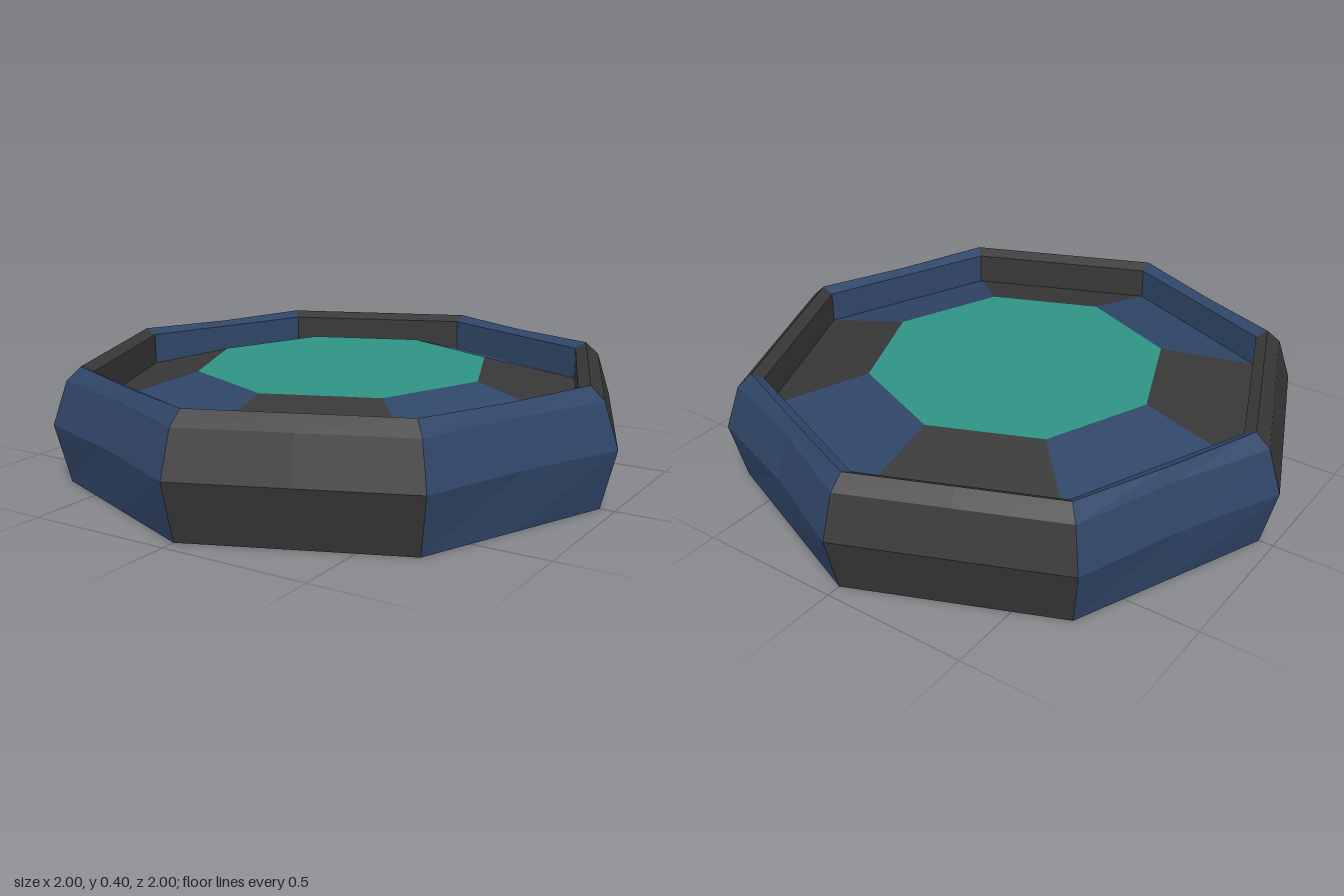
import * as THREE from 'three';

const SIDES = 8;
const PAD_RADIUS = 0.512, PAD_Y = 0.36;

// Cross-sections as [radius at the corners, height, inward dent, dip];
// dent and dip act on the middle of the dented sides.
const SHELL = [[0.95, 0, 0, 0], [1, 0.2, 0.018, 0], [0.95, 0.35, 0.018, 0], [0.9, 0.396, 0, 0.006]];
const RIM = [[0.9, 0.396, 0, 0.006], [0.86, 0.375, 0, 0], [0.86, 0.265, 0, 0]];
const FLOOR = [[0.86, 0.265, 0, 0], [PAD_RADIUS, PAD_Y, 0, 0]];

function material(name, color) {
  const m = new THREE.MeshStandardMaterial({ color, side: THREE.DoubleSide, flatShading: true });
  m.name = name;
  return m;
}

// One side of the octagon, swept through a profile in two halves
function sidePanel(profile, side, dented) {
  const step = (Math.PI * 2) / SIDES;
  const rows = profile.map(([r, y, dent, dip]) => {
    const corner = (k) => new THREE.Vector3(r * Math.cos(k * step), y, r * Math.sin(k * step));
    const a = corner(side), b = corner(side + 1);
    const mid = a.clone().add(b).multiplyScalar(0.5);
    if (dented) {
      const angle = (side + 0.5) * step;
      mid.x -= dent * Math.cos(angle);
      mid.z -= dent * Math.sin(angle);
      mid.y -= dip;
    }
    return [a, mid, b];
  });
  const points = [];
  for (let i = 0; i < rows.length - 1; i++) {
    for (let j = 0; j < 2; j++) {
      const p = rows[i][j], q = rows[i + 1][j], s = rows[i + 1][j + 1], t = rows[i][j + 1];
      points.push(p, q, t, q, s, t);
    }
  }
  const geometry = new THREE.BufferGeometry().setFromPoints(points);
  geometry.computeVertexNormals();
  return geometry;
}

export function createModel() {
  const model = new THREE.Group();
  model.name = 'octagonalBase';
  const blue = material('navy blue', 0x304668);
  const grey = material('charcoal', 0x383838);
  const teal = material('teal', 0x2f9484);

  // Alternating blue and charcoal sides, open underneath
  const parts = { outerShell: SHELL, innerRim: RIM, floorPanel: FLOOR };
  for (let side = 0; side < SIDES; side++) {
    const dented = side % 2 === 0;
    for (const [name, profile] of Object.entries(parts)) {
      const mesh = new THREE.Mesh(sidePanel(profile, side, dented), dented ? blue : grey);
      mesh.name = `${name}${side + 1}`;
      model.add(mesh);
    }
  }

  // Raised centre pad
  const pad = new THREE.Mesh(new THREE.CircleGeometry(PAD_RADIUS, SIDES).rotateX(-Math.PI / 2), teal);
  pad.name = 'centrePad';
  pad.position.y = PAD_Y;
  model.add(pad);

  return model;
}
